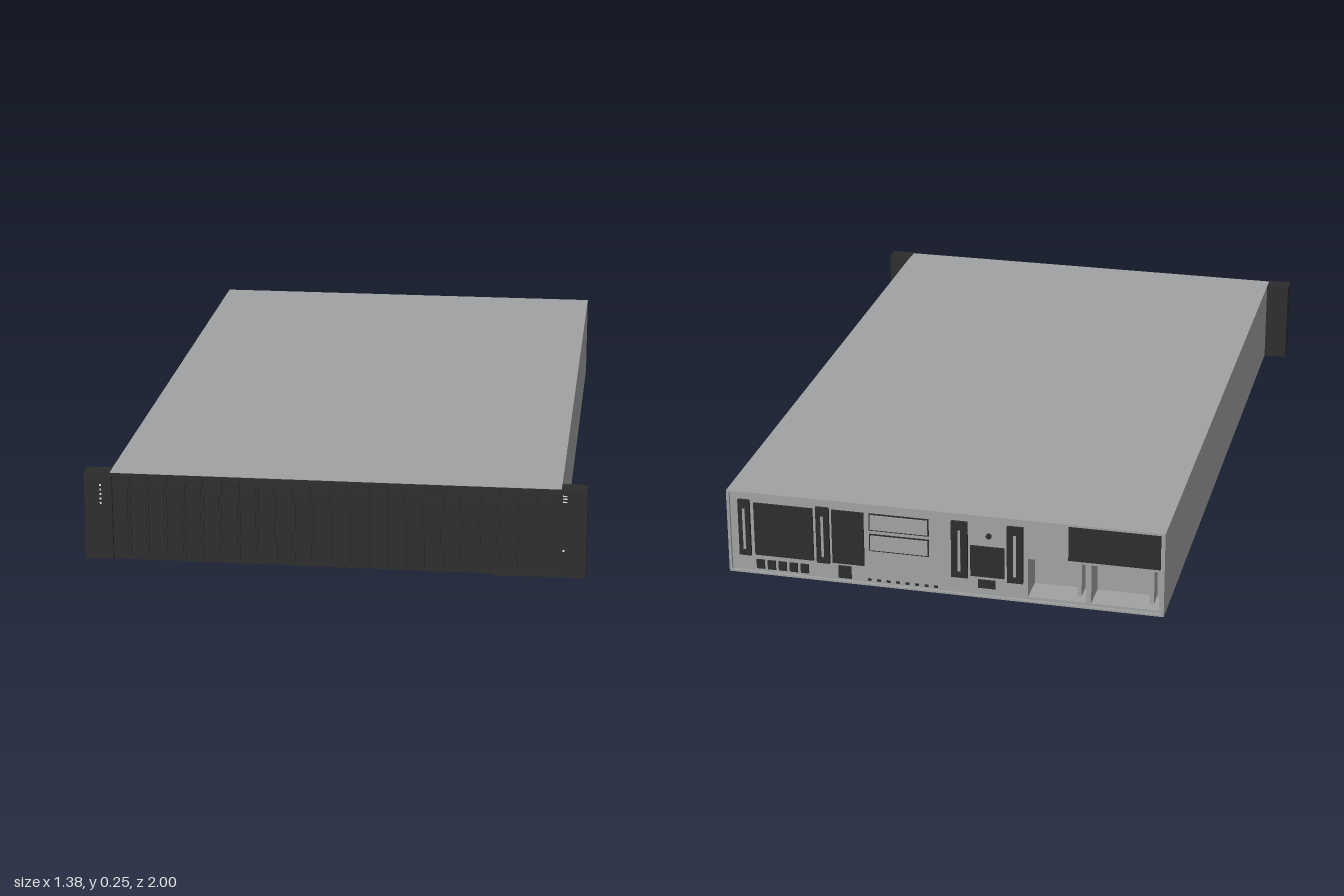
import * as THREE from 'three';

const W = 0.62, H = 0.25; // chassis half width and height

export function createModel() {
  const root = new THREE.Group();
  root.name = 'rackServer';
  const mat = (name, color) => Object.assign(new THREE.MeshStandardMaterial({ color }), { name });
  const steel = mat('steel', 0xa0a1a2);
  const black = mat('blackPlastic', 0x2c2c2c);
  const white = mat('whiteMarking', 0xe6e6e6);

  // box between two corners
  const box = (name, m, x0, x1, y0, y1, z0, z1, parent = root) => {
    const mesh = new THREE.Mesh(new THREE.BoxGeometry(Math.abs(x1 - x0), y1 - y0, z1 - z0), m);
    mesh.position.set((x0 + x1) / 2, (y0 + y1) / 2, (z0 + z1) / 2);
    mesh.name = name;
    parent.add(mesh);
    return mesh;
  };
  const rect = (C, x0, x1, y0, y1) => new C()
    .moveTo(x0, y0).lineTo(x1, y0).lineTo(x1, y1).lineTo(x0, y1).closePath();
  // rectangular plate with rectangular holes
  const plate = (name, outer, holes, z0, z1) => {
    const s = rect(THREE.Shape, ...outer);
    s.holes = holes.map(h => rect(THREE.Path, ...h));
    const mesh = new THREE.Mesh(
      new THREE.ExtrudeGeometry(s, { depth: z1 - z0, bevelEnabled: false }), steel);
    mesh.position.z = z0;
    mesh.name = name;
    root.add(mesh);
  };

  // chassis, rear panel with power supply pockets, and raised rim
  box('chassis', steel, -W, W, 0, H, -0.9, 0.985);
  const pockets = [[-0.403, -0.24, 0.014, 0.13], [-0.605, -0.417, 0.014, 0.13]];
  plate('rearPanel', [-W, W, 0, H], pockets, -0.986, -0.9);
  plate('rearRim', [-W, W, 0, H], [[-W + 0.008, W - 0.008, 0.006, H - 0.006]], -0.994, -0.986);

  // rear details placed by fractions across (from +x) and down the panel
  const rear = new THREE.Group();
  rear.name = 'rearDetails';
  root.add(rear);
  const back = (name, m, u0, u1, v0, v1, d = 0.007) =>
    box(name, m, W - 2 * W * u1, W - 2 * W * u0, H * (1 - v1), H * (1 - v0), -0.986 - d, -0.986, rear);

  // expansion slots with a slim steel bracket inside
  for (const [u0, u1] of [[0.026, 0.053], [0.208, 0.238], [0.52, 0.557], [0.647, 0.683]]) {
    back('expansionSlot', black, u0, u1, 0.1, 0.78, 0.009);
    const c = (u0 + u1) / 2;
    back('slotBracket', steel, c - 0.003, c + 0.003, 0.2, 0.7, 0.011);
  }
  // ventilation areas
  back('vent', black, 0.062, 0.2, 0.13, 0.77, 0.005);
  back('vent', black, 0.244, 0.318, 0.12, 0.77, 0.005);
  back('vent', black, 0.563, 0.64, 0.38, 0.75, 0.005);
  back('powerSupplyVent', black, 0.785, 0.99, 0.03, 0.44, 0.006);
  // blank covers with a dark outline
  for (const v of [0.12, 0.37]) {
    back('coverSeam', black, 0.33, 0.468, v, v + 0.21, 0.002);
    back('blankCover', steel, 0.333, 0.465, v + 0.016, v + 0.194, 0.005);
  }
  // connectors
  for (let i = 0; i < 5; i++) {
    const u = 0.064 + i * 0.026;
    back('port', black, u, u + 0.019, 0.83, 0.94, 0.004);
  }
  back('networkPort', black, 0.257, 0.287, 0.8, 0.95, 0.004);
  back('smallPort', black, 0.58, 0.62, 0.79, 0.89, 0.004);
  for (let i = 0; i < 8; i++) {
    const u = 0.325 + i * 0.022;
    back('indicatorHole', black, u, u + 0.008, 0.925, 0.95, 0.003);
  }
  // round latch screw
  const screw = new THREE.Mesh(new THREE.CylinderGeometry(0.008, 0.008, 0.006, 16), black);
  screw.rotation.x = Math.PI / 2;
  screw.position.set(W - 2 * W * 0.605, H * 0.75, -0.988);
  screw.name = 'latchScrew';
  rear.add(screw);
  // pull handle on each power supply
  for (const [x0, x1] of pockets)
    box('powerSupplyHandle', steel, x0 + 0.02, x0 + 0.032, 0.014, 0.13, -0.95, -0.9, rear);

  // drive bay: backing plate and a row of upright carriers
  const bay = new THREE.Group();
  bay.name = 'driveBay';
  root.add(bay);
  box('bayBacking', black, -W, W, 0.001, H - 0.001, 0.983, 0.989, bay);
  const n = 24, pitch = 2 * (W - 0.01) / n;
  for (let i = 0; i < n; i++) {
    const x = -W + 0.01 + (i + 0.5) * pitch, h = pitch / 2 - 0.003;
    box('driveCarrier', black, x - h, x + h, 0.012, H - 0.006, 0.989, 0.994, bay);
    box('carrierHandle', black, x - h + 0.007, x + h - 0.007, 0.03, H - 0.03, 0.994, 0.998, bay);
  }
  box('informationTag', black, 0.44, 0.61, 0, 0.01, 0.96, 0.998, bay);

  // mounting ears with a slim raised front cover
  for (const s of [-1, 1]) {
    const ear = new THREE.Group();
    ear.name = s > 0 ? 'leftEar' : 'rightEar';
    root.add(ear);
    box('earBody', black, s * 0.618, s * 0.69, 0, H, 0.94, 0.994, ear);
    box('earCover', black, s * 0.612, s * 0.688, 0.003, H - 0.008, 0.99, 0.999, ear);
  }
  // small markings on the ears
  for (let i = 0; i < 5; i++)
    box('statusMark', white, -0.646, -0.641, 0.163 + i * 0.013, 0.168 + i * 0.013, 0.998, 1, root);
  for (const y of [0.217, 0.226, 0.234])
    box('powerMark', white, 0.624, 0.636, y, y + 0.003, 0.998, 1, root);
  box('portMark', white, 0.626, 0.632, 0.076, 0.081, 0.998, 1, root);

  return root;
}
